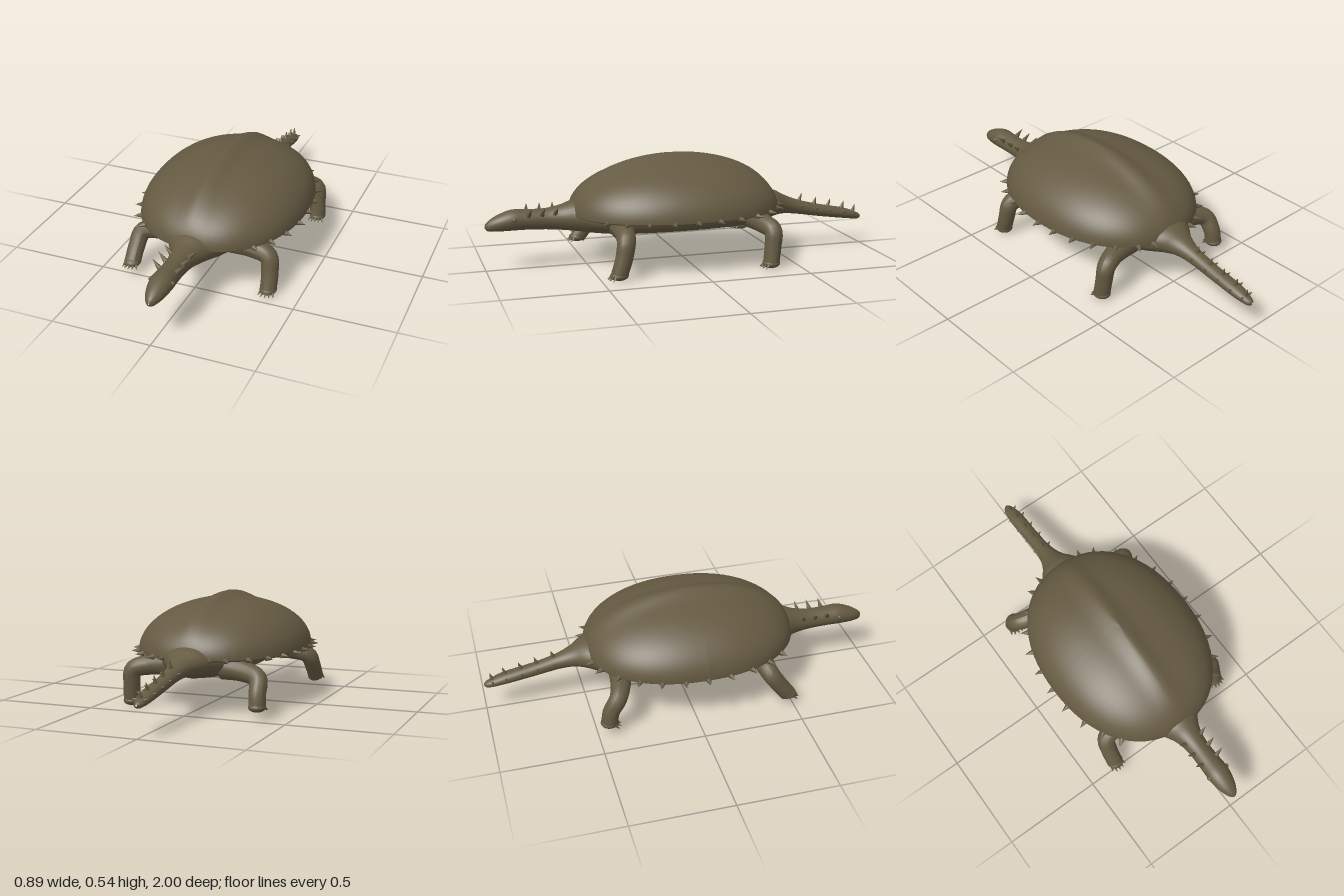
import * as THREE from 'three';

const hide = new THREE.MeshStandardMaterial({ color: 0x655a42 });
hide.name = 'olive brown hide';
const UP = new THREE.Vector3(0, 1, 0);
const V = (x, y, z) => new THREE.Vector3(x, y, z);

function add(parent, name, geometry) {
  const mesh = new THREE.Mesh(geometry, hide);
  mesh.name = name;
  parent.add(mesh);
  return mesh;
}

// Cone whose base centre sits at `base`, pointing along `dir`
function spike(parent, name, base, dir, radius, height) {
  const d = dir.clone().normalize();
  const mesh = add(parent, name, new THREE.ConeGeometry(radius, height, 8));
  mesh.quaternion.setFromUnitVectors(UP, d);
  mesh.position.copy(base).addScaledVector(d, height / 2);
}

// Oval rings along z: [z, half width, bottom, top]
const SECTIONS = [
  [-1, .004, .146, .156], [-.98, .022, .135, .17], [-.9, .037, .144, .2], [-.75, .037, .165, .23],
  [-.63, .042, .185, .262], [-.55, .064, .193, .295], [-.49, .105, .188, .325], [-.41, .155, .17, .33],
  [-.28, .198, .158, .3], [0, .215, .152, .3], [.3, .205, .155, .3], [.45, .165, .165, .32],
  [.55, .11, .178, .335], [.62, .07, .187, .315], [.7, .053, .195, .3], [.8, .054, .2, .3],
  [.87, .056, .2, .302], [.94, .043, .2, .278], [.985, .022, .204, .25], [1, .003, .222, .23],
];

function bodyGeometry() {
  const low = new THREE.CatmullRomCurve3(SECTIONS.map(s => V(s[1], s[2], s[0])), false, 'catmullrom');
  const high = new THREE.CatmullRomCurve3(SECTIONS.map(s => V(0, s[3], s[0])), false, 'catmullrom');
  const n = 76, m = 28, pos = [], index = [];
  for (let i = 0; i <= n; i++) {
    const a = low.getPoint(i / n), top = high.getPoint(i / n).y;
    for (let j = 0; j < m; j++) {
      const t = (j / m) * Math.PI * 2;
      pos.push(Math.cos(t) * a.x, (top + a.y) / 2 + Math.sin(t) * (top - a.y) / 2, a.z);
      if (i === n) continue;
      const p = i * m + j, q = i * m + (j + 1) % m;
      index.push(p, q, p + m, q, q + m, p + m);
    }
  }
  const g = new THREE.BufferGeometry();
  g.setAttribute('position', new THREE.Float32BufferAttribute(pos, 3));
  g.setIndex(index);
  g.computeVertexNormals();
  return g;
}

// Shell outline half width at a given z
const SHELL = { z: .045, length: .535, width: .41, rim: .27 };
const shellX = z => SHELL.width * Math.pow(Math.max(0, 1 - Math.pow(Math.abs(z - SHELL.z) / SHELL.length, 2.2)), 1 / 2.2);

// Domed top with a central ridge and a shallow underside
function shellGeometry() {
  const g = new THREE.SphereGeometry(1, 64, 40);
  const p = g.attributes.position;
  for (let i = 0; i < p.count; i++) {
    const x = p.getX(i), y = p.getY(i), z = p.getZ(i);
    const r = Math.hypot(x, z);
    const fill = r > 0 ? r / Math.pow(Math.pow(Math.abs(x), 2.2) + Math.pow(Math.abs(z), 2.2), 1 / 2.2) : 1;
    const X = x * fill * SHELL.width;
    const ridge = .028 * Math.exp(-Math.pow(X / .055, 2)) * Math.max(y, 0);
    p.setXYZ(i, X, SHELL.rim + (y > 0 ? y * .25 + ridge : y * .035), z * fill * SHELL.length + SHELL.z);
  }
  g.computeVertexNormals();
  return g;
}

// Tapered tube leg with rounded foot and claws
function leg(parent, name, points) {
  const group = new THREE.Group();
  group.name = name;
  parent.add(group);
  const curve = new THREE.CatmullRomCurve3(points.map(p => V(...p)), false, 'centripetal');
  const segments = 24, sides = 16;
  const g = new THREE.TubeGeometry(curve, segments, 1, sides);
  const p = g.attributes.position, v = V(0, 0, 0);
  for (let i = 0; i < p.count; i++) {
    const t = Math.floor(i / (sides + 1)) / segments;
    const c = curve.getPointAt(t);
    const radius = .041 + .02 * Math.pow(1 - t, 2);
    v.fromBufferAttribute(p, i).sub(c).multiplyScalar(radius).add(c);
    p.setXYZ(i, v.x, v.y, v.z);
  }
  g.computeVertexNormals();
  add(group, 'limb', g);
  const end = curve.getPoint(1);
  const foot = add(group, 'foot', new THREE.SphereGeometry(1, 18, 12));
  foot.scale.set(.042, .024, .045);
  foot.position.copy(end);
  for (let i = -2; i <= 2; i++) {
    const a = i * .42;
    const base = V(end.x + Math.sin(a) * .04, end.y - .005, end.z + Math.cos(a) * .036);
    spike(group, 'claw', base, V(Math.sin(a) * .5, -.55, Math.cos(a)), .008, .026);
  }
}

export function createModel() {
  const model = new THREE.Group();
  model.name = 'spiny armoured turtle';
  add(model, 'body', bodyGeometry());
  add(model, 'shell', shellGeometry());

  leg(model, 'frontLeftLeg', [[.14, .222, .36], [.25, .21, .365], [.328, .185, .375], [.343, .11, .39], [.345, .028, .415]]);
  leg(model, 'frontRightLeg', [[-.14, .222, .36], [-.25, .21, .37], [-.328, .185, .385], [-.343, .12, .43], [-.345, .06, .475]]);
  leg(model, 'backLeftLeg', [[.14, .222, -.33], [.25, .21, -.345], [.328, .185, -.37], [.34, .11, -.365], [.345, .028, -.355]]);
  leg(model, 'backRightLeg', [[-.14, .222, -.34], [-.25, .21, -.36], [-.328, .185, -.39], [-.34, .12, -.43], [-.343, .062, -.44]]);

  for (const s of [-1, 1]) {
    // Spikes round the shell rim
    for (const z of [-.44, -.37, -.28, -.18, -.07, .04, .155, .27, .37, .45]) {
      const x = shellX(z);
      const dir = V(s * x / SHELL.width ** 2, -.1, (z - SHELL.z) / SHELL.length ** 2);
      spike(model, 'rimSpike', V(s * (x - .008), .268, z), dir, .015, .045);
    }
    // Rear rim spikes beside the tail
    spike(model, 'rimSpike', V(s * .12, .27, -.47), V(s * .3, 0, -1), .014, .045);
    // Neck spikes and eyes
    for (const z of [.66, .725, .79])
      spike(model, 'neckSpike', V(s * .043, .277, z), V(s, .95, -.2), .013, .055);
    const eye = add(model, 'eye', new THREE.SphereGeometry(.012, 12, 8));
    eye.position.set(s * .052, .26, .86);
  }

  // Tail spikes along the top and sides
  for (const z of [-.645, -.73, -.81, -.89, -.955]) {
    const k = SECTIONS.findIndex(q => q[0] > z);
    const a = SECTIONS[k - 1], b = SECTIONS[k], t = (z - a[0]) / (b[0] - a[0]);
    const [w, low, top] = [1, 2, 3].map(i => a[i] + (b[i] - a[i]) * t);
    spike(model, 'tailSpike', V(0, top - .006, z), V(0, 1, -.3), .013, .045);
    for (const s of [-1, 1])
      spike(model, 'tailSideSpike', V(s * (w - .008), (top + low) / 2 + .008, z), V(s, .4, -.3), .009, .025);
  }
  return model;
}
